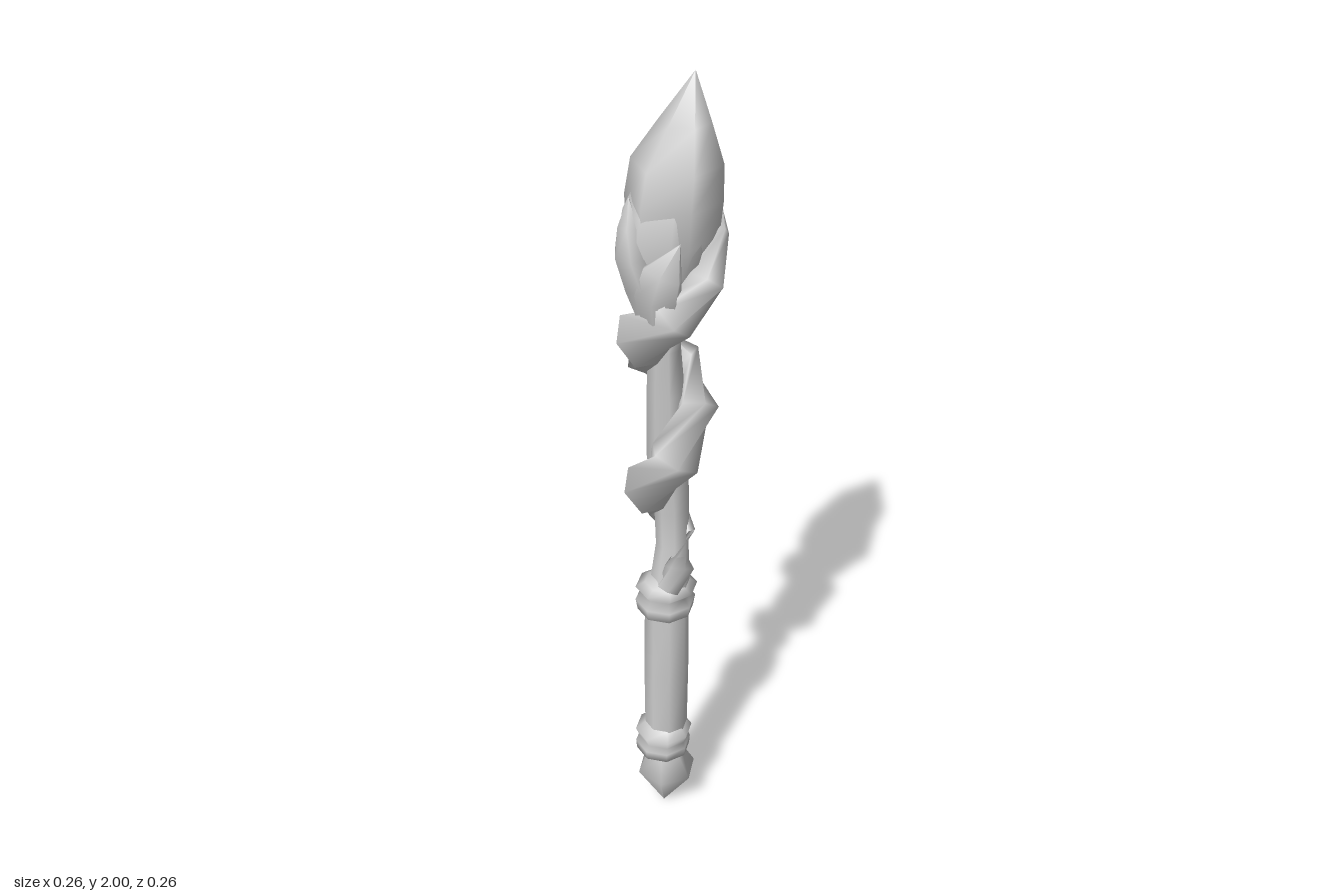
import * as THREE from 'three';

// Skins a list of rings (equal point counts) into one smooth surface
function skin(rings) {
  const n = rings[0].length, pos = [], index = [];
  rings.forEach((ring) => ring.forEach((p) => pos.push(p.x, p.y, p.z)));
  for (let r = 0; r < rings.length - 1; r++) {
    for (let i = 0; i < n; i++) {
      const a = r * n + i, b = r * n + (i + 1) % n;
      index.push(a, a + n, b, b, a + n, b + n);
    }
  }
  const geo = new THREE.BufferGeometry();
  geo.setAttribute('position', new THREE.Float32BufferAttribute(pos, 3));
  geo.setIndex(index);
  geo.computeVertexNormals();
  return geo;
}

// Upright loft; each section is [y, centre x, centre z, radius x, radius z]
function loft(sections, sides, turn = 0) {
  return skin(sections.map(([y, cx, cz, rx, rz = rx]) =>
    Array.from({ length: sides }, (_, i) => {
      const a = turn + (i / sides) * Math.PI * 2;
      return new THREE.Vector3(cx + Math.cos(a) * rx, y, cz + Math.sin(a) * rz);
    })));
}

// Tapering strand; each node is [x, y, z, thickness outwards, half width]
function strand(nodes, sides = 6) {
  const pts = nodes.map((p) => new THREE.Vector3(p[0], p[1], p[2]));
  const rings = pts.map((p, k) => {
    const t = pts[Math.min(k + 1, pts.length - 1)].clone().sub(pts[Math.max(k - 1, 0)]).normalize();
    const out = new THREE.Vector3(p.x, 0, p.z).normalize();
    out.addScaledVector(t, -out.dot(t)).normalize();
    const side = out.clone().cross(t);
    return Array.from({ length: sides }, (_, i) => {
      const a = (i / sides) * Math.PI * 2;
      return p.clone().addScaledVector(out, Math.cos(a) * nodes[k][3])
        .addScaledVector(side, Math.sin(a) * nodes[k][4]);
    });
  });
  return skin(rings);
}

export function createModel() {
  const group = new THREE.Group();
  const grey = new THREE.MeshStandardMaterial({ color: 0xcccccc });
  grey.name = 'pale grey';
  const add = (name, geo) => {
    const mesh = new THREE.Mesh(geo, grey);
    mesh.name = name;
    group.add(mesh);
  };

  // Pointed pommel
  add('pommel', loft([
    [0, -0.02, 0, 0], [0.115, -0.01, -0.007, 0.078], [0.185, -0.015, -0.008, 0.045], [0.22, -0.015, -0.008, 0.045],
  ], 6));

  // Ridged collars at both ends of the grip
  add('lowerCollar', loft([
    [0.18, -0.02, -0.006, 0.04], [0.195, -0.02, -0.006, 0.07], [0.22, -0.02, -0.006, 0.072],
    [0.235, -0.018, -0.006, 0.064], [0.26, -0.018, -0.006, 0.074], [0.28, -0.015, -0.008, 0.05],
  ], 8, 0.2));
  add('upperCollar', loft([
    [0.64, -0.012, -0.008, 0.045], [0.655, -0.012, -0.008, 0.07], [0.685, -0.012, -0.008, 0.075],
    [0.705, -0.012, -0.008, 0.058], [0.725, -0.01, -0.006, 0.077], [0.74, -0.01, -0.004, 0.055],
    [0.76, -0.008, -0.002, 0.04],
  ], 8, 0.2));

  // Grip
  add('grip', loft([
    [0.25, -0.01, -0.01, 0.055], [0.46, -0.009, -0.01, 0.057], [0.67, -0.008, -0.01, 0.055],
  ], 8, 0.2));

  // Shaft, slim below and waisted under the head
  add('shaft', loft([
    [0.73, -0.004, 0, 0.05], [0.85, 0.006, -0.008, 0.04, 0.042], [0.95, 0.006, -0.012, 0.042, 0.046],
    [1.1, -0.003, -0.018, 0.049, 0.055], [1.28, -0.01, -0.01, 0.043, 0.053],
    [1.4, -0.016, 0, 0.036, 0.05], [1.5, -0.008, 0, 0.05, 0.055],
  ], 8, 0.2));

  // Socket swelling around the foot of the crystal
  add('socket', loft([
    [1.42, -0.016, 0, 0.036, 0.045], [1.5, -0.014, 0, 0.056, 0.056], [1.57, -0.012, -0.01, 0.08, 0.085],
    [1.64, -0.014, -0.014, 0.1, 0.104], [1.72, -0.004, -0.02, 0.094, 0.1], [1.78, 0.012, -0.02, 0.08],
  ], 8, 0.2));

  // Broad vine climbing the shaft: front, right, back, left in turn
  add('vine', strand([
    [-0.02, 0.74, 0.035, 0.02, 0.03],
    [0.01, 0.80, 0.034, 0.022, 0.045],
    [0.03, 0.87, -0.014, 0.022, 0.05],
    [0.0, 0.95, -0.055, 0.042, 0.06],
    [-0.064, 1.025, 0.0, 0.052, 0.07],
    [-0.015, 1.14, 0.07, 0.054, 0.064],
    [0.052, 1.24, 0.025, 0.052, 0.07],
    [0.035, 1.315, -0.052, 0.05, 0.064],
    [-0.04, 1.365, -0.06, 0.05, 0.064],
    [-0.078, 1.425, 0.005, 0.054, 0.072],
    [-0.02, 1.505, 0.078, 0.053, 0.055],
    [0.055, 1.575, 0.07, 0.045, 0.045],
    [0.095, 1.66, 0.012, 0.032, 0.042],
    [0.106, 1.72, -0.03, 0.018, 0.026],
    [0.1, 1.76, -0.06, 0, 0],
  ]));

  // Leaf-like claws hugging the crystal
  add('leftClaw', strand([
    [-0.04, 1.47, 0.01, 0.04, 0.045], [-0.072, 1.56, 0.005, 0.038, 0.06], [-0.092, 1.63, 0.0, 0.036, 0.065],
    [-0.092, 1.69, -0.01, 0.025, 0.045], [-0.086, 1.75, -0.03, 0, 0],
  ]));
  add('frontClaw', strand([
    [-0.035, 1.46, 0.035, 0.035, 0.04], [-0.052, 1.55, 0.06, 0.035, 0.055], [-0.046, 1.61, 0.075, 0.028, 0.048],
    [-0.012, 1.68, 0.092, 0, 0],
  ]));

  // Crystal head with a leaning point
  add('crystal', loft([
    [1.47, 0.0, -0.01, 0.03], [1.56, 0.005, -0.015, 0.07, 0.075], [1.66, 0.008, -0.015, 0.102, 0.106],
    [1.74, 0.012, -0.018, 0.108, 0.11], [1.82, 0.02, -0.02, 0.1, 0.106], [1.9, 0.042, -0.032, 0.057, 0.06],
    [2, 0.07, -0.047, 0],
  ], 6, Math.PI / 6));

  return group;
}
